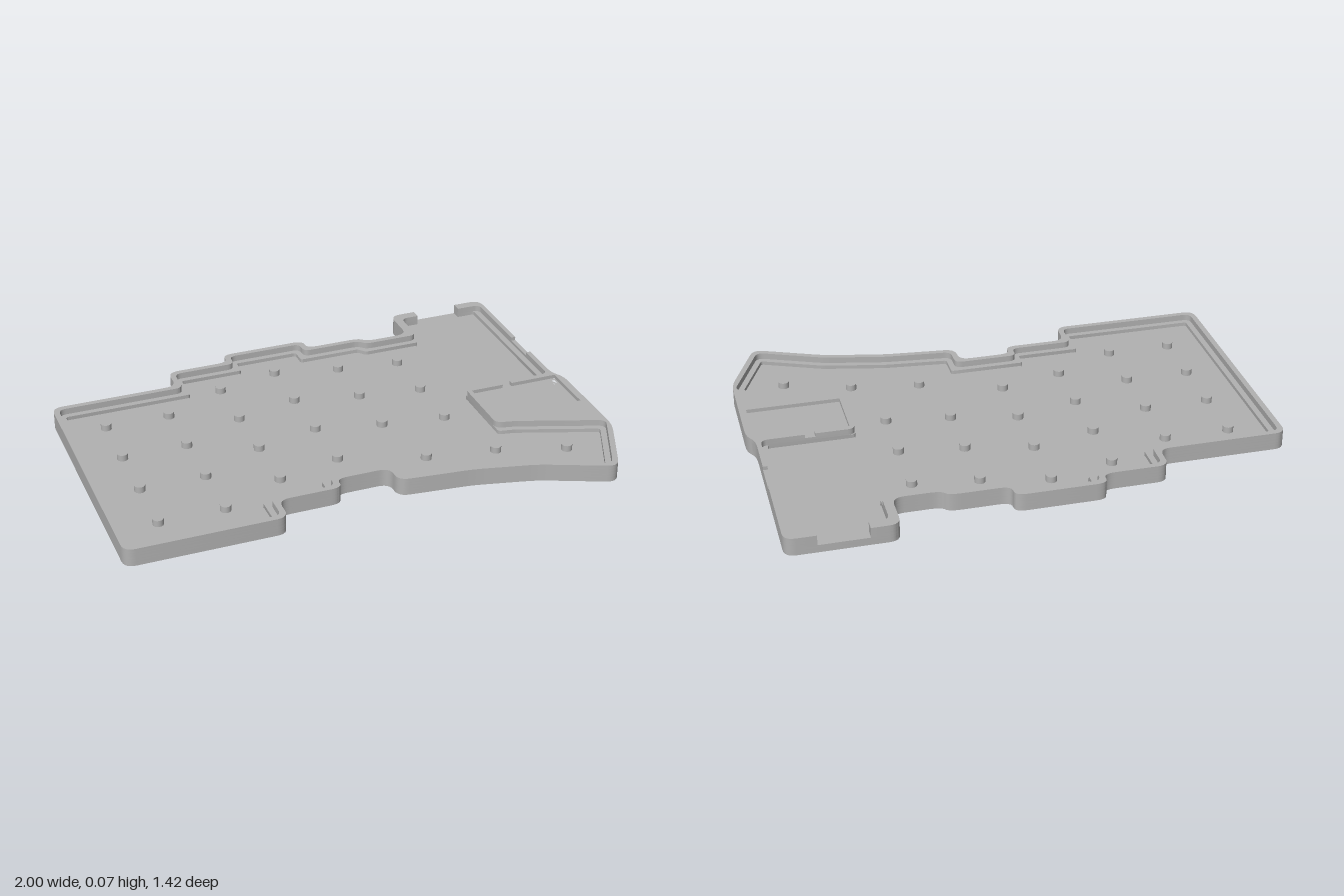
import * as THREE from 'three';
import { toCreasedNormals } from 'three/addons/utils/BufferGeometryUtils.js';

const HEIGHT = 0.07, FLOOR = 0.02, SILL = 0.03, LEDGE = 0.045, NOTCH = 0.055;

// Round each corner of a closed [x, z] loop
function rounded(points, radius, steps = 6) {
  const out = [], n = points.length;
  points.forEach((p, i) => {
    const b = new THREE.Vector2(...p);
    const a = new THREE.Vector2(...points[(i + n - 1) % n]);
    const c = new THREE.Vector2(...points[(i + 1) % n]);
    const toward = (q) => b.clone().lerp(q, Math.min(radius / b.distanceTo(q), 0.45));
    const curve = new THREE.QuadraticBezierCurve(toward(a), b, toward(c));
    curve.getPoints(steps).forEach((v) => out.push([v.x, v.y]));
  });
  return out;
}

// Move each edge of a loop inward by its own distance and mitre the corners
function inset(points, distanceOf) {
  const n = points.length;
  const lines = points.map((p, i) => {
    const q = points[(i + 1) % n];
    const len = Math.hypot(q[0] - p[0], q[1] - p[1]);
    const dx = (q[0] - p[0]) / len, dz = (q[1] - p[1]) / len, d = distanceOf(p);
    return { x: p[0] - dz * d, z: p[1] + dx * d, dx, dz };
  });
  return lines.map((b, i) => {
    const a = lines[(i + n - 1) % n];
    const t = ((b.x - a.x) * b.dz - (b.z - a.z) * b.dx) / (a.dx * b.dz - a.dz * b.dx);
    return [a.x + a.dx * t, a.z + a.dz * t];
  });
}

const toVectors = (loop) => loop.map(([x, z]) => new THREE.Vector2(x, -z));

// Upright slab between two heights from a plan outline with holes
function slab(outline, holes, y0, y1) {
  const shape = new THREE.Shape(toVectors(outline));
  holes.forEach((h) => shape.holes.push(new THREE.Path(toVectors(h))));
  const g = new THREE.ExtrudeGeometry(shape, { depth: y1 - y0, bevelEnabled: false });
  g.rotateX(-Math.PI / 2).translate(0, y0, 0);
  return toCreasedNormals(g, 0.5);
}

// Edges shared by the outer outline and the pocket; optional rim and ledge widths
const shared = [
  [0.877, 0.722], [0.6, 0.605], [0.36, 0.55], [0.07, 0.52], [0.07, 0.43],
  [-0.14, 0.43], [-0.14, 0.49], [-0.39, 0.49], [-0.39, 0.607], [-1, 0.607],
  [-1, -0.455], [-0.49, -0.455], [-0.49, -0.572], [-0.235, -0.572],
  [-0.235, -0.635], [0.115, -0.635], [0.115, -0.572], [0.345, -0.572],
  [0.37, -0.54], [0.55, -0.54, 0.035, 0.035], [0.55, -0.715, 0.04, 0.04],
  [0.968, -0.715, 0.018, 0.043],
];
const outlinePoints = [[0.968, -0.02], [1, 0.03], [1, 0.44], ...shared];
// The pocket loop bends around the battery bay
const pocketPoints = [
  [0.968, 0.005, 0.022, 0.022], [0.604, 0.005, 0.019, 0.019],
  [0.604, 0.25], [0.66, 0.26], [1.023, 0.39], ...shared,
];

// Cut the back opening, and optionally the right notch, out of a wall ring
const BACK = [0.66, 0.85], RIGHT = [-0.35, -0.21];
const isCorner = ([x, z]) => x > 0.85 && z < -0.4;
function cutRing(outer, inner, withRightNotch) {
  const part = (loop, corner) => loop.filter((p) => isCorner(p) === corner);
  const edge = (loop) => ({
    z: Math.min(...loop.map((p) => p[1])),
    x: Math.max(...part(loop, true).map((p) => p[0])),
  });
  const eo = edge(outer), ei = edge(inner);
  const side = (loop, e) => ({
    corner: [[BACK[1], e.z], ...part(loop, true)],
    main: [...part(loop, false), [BACK[0], e.z]],
    before: [e.x, RIGHT[0]], after: [e.x, RIGHT[1]],
  });
  const o = side(outer, eo), i = side(inner, ei);
  if (!withRightNotch) {
    return [[...o.corner, ...o.main, ...[...i.corner, ...i.main].reverse()]];
  }
  return [
    [...o.corner, o.before, ...[...i.corner, i.before].reverse()],
    [o.after, ...o.main, ...[i.after, ...i.main].reverse()],
  ];
}

export function createModel() {
  const model = new THREE.Group();
  model.name = 'keyboardCase';
  const grey = new THREE.MeshStandardMaterial({ color: 0xb2b2b2 });
  grey.name = 'case grey';
  const add = (name, geometry) => {
    const mesh = new THREE.Mesh(geometry, grey);
    mesh.name = name;
    model.add(mesh);
    return mesh;
  };

  const outer = rounded(outlinePoints, 0.045);
  const rim = rounded(inset(pocketPoints, (p) => p[2] ?? 0.022), 0.03);
  const ledge = rounded(inset(pocketPoints, (p) => p[3] ?? 0.045), 0.012);
  const bay = [[0.972, 0.005], [0.972, 0.23], [0.604, 0.23], [0.604, 0.005]];

  // Floor and lower wall
  add('floor', slab(outer, [], 0, FLOOR));
  add('lowerWall', slab(outer, [ledge, bay], FLOOR, SILL));

  // Wall up to the ledge, then the thinner rim, both open at the back
  add('ledgeWall', slab(cutRing(outer, ledge, false)[0], [bay], SILL, LEDGE));
  add('rimWall', slab(cutRing(outer, rim, false)[0], [bay], LEDGE, NOTCH));

  // Top of the rim, with a cable slot joining pocket and battery bay
  const bend = rim.findLastIndex(([x, z]) => x > 0.85 && z > -0.1 && z < 0.002);
  const slotZ = rim[bend][1];
  const slotted = [
    ...rim.slice(0, bend + 1),
    [0.78, slotZ], [0.78, 0.005], ...bay, [0.74, 0.005], [0.74, slotZ],
    ...rim.slice(bend + 1),
  ];
  const [corner, main] = cutRing(outer, slotted, true);
  add('rimCorner', slab(corner, [], NOTCH, HEIGHT));
  add('rimTop', slab(main, [], NOTCH, HEIGHT));

  // Support pegs in columns, plus three for the thumb keys
  const columns = [
    [-0.82, -0.31, 4], [-0.565, -0.31, 4], [-0.312, -0.43, 4],
    [-0.06, -0.49, 4], [0.197, -0.43, 3], [0.447, -0.393, 3],
    [0.26, 0.34, 1], [0.53, 0.385, 1], [0.79, 0.47, 1],
  ];
  const peg = new THREE.CylinderGeometry(0.021, 0.021, LEDGE - FLOOR, 24);
  for (const [x, z, count] of columns) {
    for (let i = 0; i < count; i++) {
      add('supportPeg', peg).position.set(x, (LEDGE + FLOOR) / 2, z + i * 0.24);
    }
  }
  return model;
}
